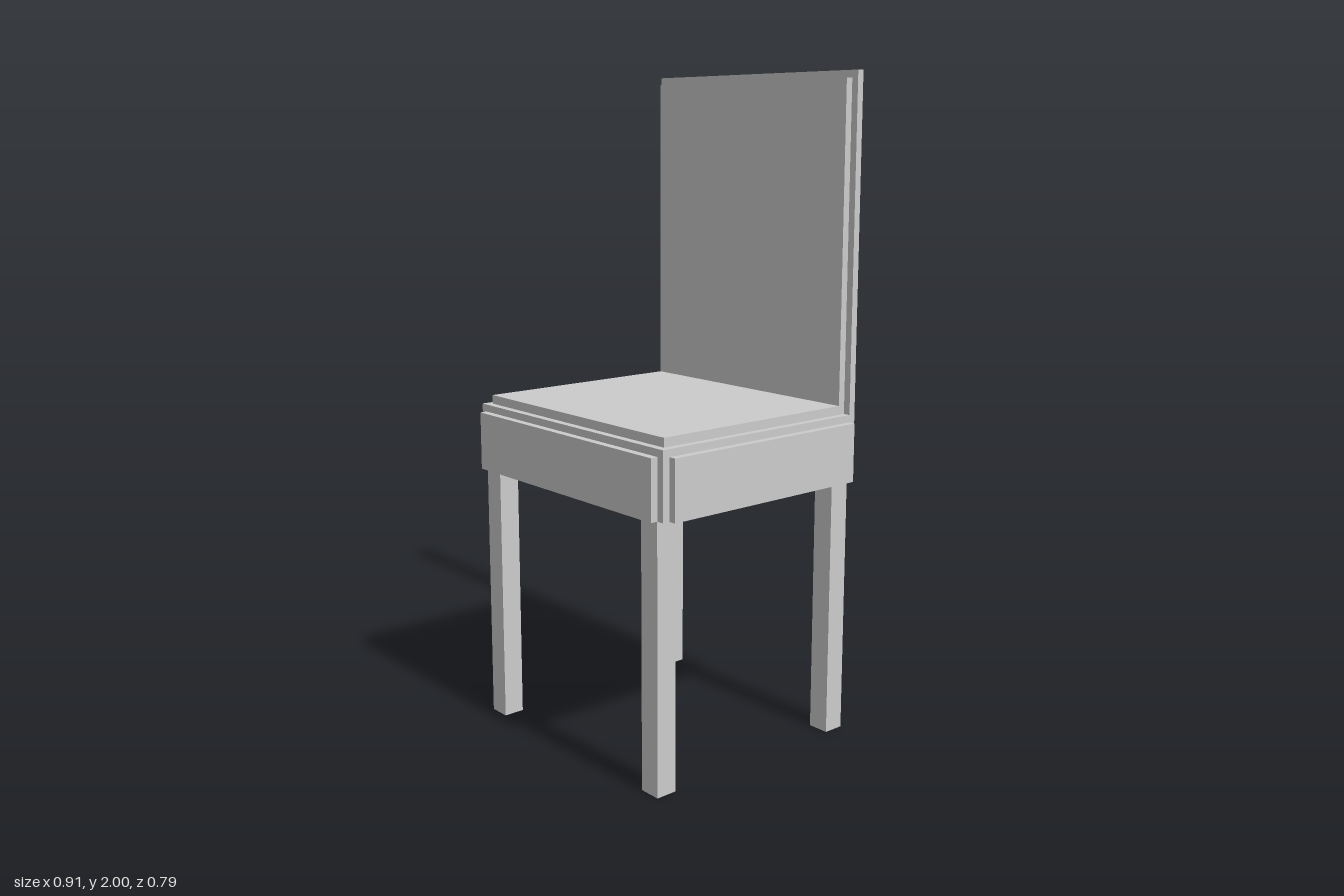
import * as THREE from 'three';

const material = new THREE.MeshStandardMaterial({ color: 0xcccccc, flatShading: true });

// Box given by its [min, max] extent on each axis
function slab(name, [x0, x1], [y0, y1], [z0, z1]) {
  const mesh = new THREE.Mesh(new THREE.BoxGeometry(x1 - x0, y1 - y0, z1 - z0), material);
  mesh.position.set((x0 + x1) / 2, (y0 + y1) / 2, (z0 + z1) / 2);
  mesh.name = name;
  return mesh;
}

export function createModel() {
  const chair = new THREE.Group();
  chair.name = 'chair';

  const full = [-0.431, 0.431];
  const inset = [-0.409, 0.409];
  const seatBottom = 0.8, seatTop = 1.0, panelTop = 0.978;

  // Seat: core block, raised cushion and stepped panels on the front and sides
  const seat = new THREE.Group();
  seat.name = 'seat';
  seat.add(
    slab('seatCore', full, [seatBottom, seatTop], [-0.377, 0.374]),
    slab('seatCushion', inset, [seatTop, 1.027], [-0.355, 0.351]),
    slab('seatFrontPanel', inset, [seatBottom, panelTop], [0.374, 0.397])
  );
  for (const [side, s] of [['left', 1], ['right', -1]]) {
    const panel = slab(side + 'SeatPanel', [0.431, 0.454], [seatBottom, panelTop], [-0.353, 0.351]);
    panel.position.x *= s;
    seat.add(panel);
  }
  chair.add(seat);

  // Backrest: core board with a stepped panel on each face
  const backrest = new THREE.Group();
  backrest.name = 'backrest';
  backrest.add(
    slab('backrestCore', full, [seatTop, 2], [-0.377, -0.355]),
    slab('backrestFrontPanel', inset, [seatTop, 1.978], [-0.355, -0.332]),
    slab('backrestRearPanel', inset, [seatBottom, 1.978], [-0.397, -0.377])
  );
  chair.add(backrest);

  // Four square legs
  for (const [side, sx] of [['Left', 1], ['Right', -1]]) {
    for (const [end, sz] of [['front', 1], ['back', -1]]) {
      const leg = slab(end + side + 'Leg', [0.341, 0.409], [0, seatBottom], [0.309, 0.375]);
      leg.position.x *= sx;
      leg.position.z *= sz;
      chair.add(leg);
    }
  }
  return chair;
}
